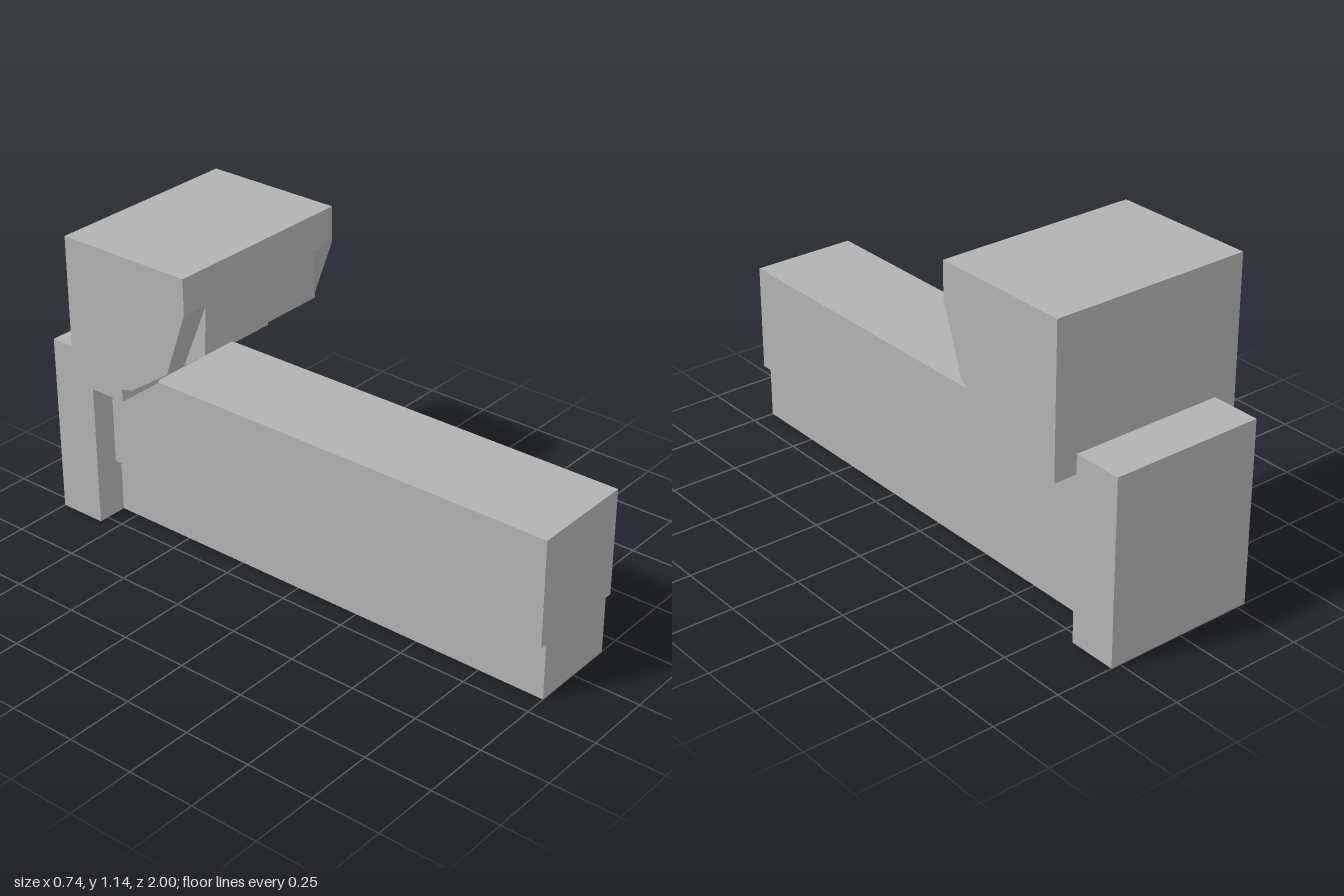
import * as THREE from 'three';
import { ConvexGeometry } from 'three/addons/geometries/ConvexGeometry.js';

export function createModel() {
  const model = new THREE.Group();
  const grey = new THREE.MeshStandardMaterial({ color: 0xb2b2b2 });
  grey.name = 'plain grey';

  const add = (name, geometry) => {
    const mesh = new THREE.Mesh(geometry, grey);
    mesh.name = name;
    model.add(mesh);
  };

  // Extrude an outline drawn in x and y between two z positions
  const extrudeZ = (points, z0, z1) => {
    const shape = new THREE.Shape(points.map(([x, y]) => new THREE.Vector2(x, y)));
    return new THREE.ExtrudeGeometry(shape, { depth: z1 - z0, bevelEnabled: false }).translate(0, 0, z0);
  };

  // Rail with a narrower lower half
  add('rail', extrudeZ([
    [-0.168, 0], [0.168, 0], [0.168, 0.208], [0.195, 0.208],
    [0.195, 0.6], [-0.195, 0.6], [-0.195, 0.208], [-0.168, 0.208],
  ], -0.82, 1));

  // Plate closing the back of the rail
  add('backPlate', extrudeZ([[-0.285, 0], [0.285, 0], [0.285, 0.67], [-0.285, 0.67]], -1, -0.82));

  // Foot of the head, with a shallow clearance slot over the rail
  add('headFoot', extrudeZ([
    [-0.372, 0.6], [-0.198, 0.6], [-0.195, 0.61], [0.195, 0.61], [0.198, 0.6],
    [0.372, 0.6], [0.372, 0.647], [-0.372, 0.647],
  ], -0.82, -0.59));

  // Head: side profile in z and y, swept across the width
  const halfWidth = 0.372;
  const head = extrudeZ([
    [-0.82, 0.647], [-0.59, 0.647], [-0.54, 0.66], [-0.38, 0.772],
    [-0.295, 1.01], [-0.295, 1.14], [-0.82, 1.14],
  ], -halfWidth, halfWidth).rotateY(-Math.PI / 2);
  add('head', head);

  // Raised middle of the nose, flaring towards its lower edge
  const nose = [];
  for (const side of [-1, 1]) {
    nose.push(
      new THREE.Vector3(side * 0.268, 1.01, -0.295),
      new THREE.Vector3(side * 0.28, 0.833, -0.295),
      new THREE.Vector3(side * 0.288, 0.772, -0.38),
    );
  }
  add('noseWedge', new ConvexGeometry(nose));

  return model;
}
